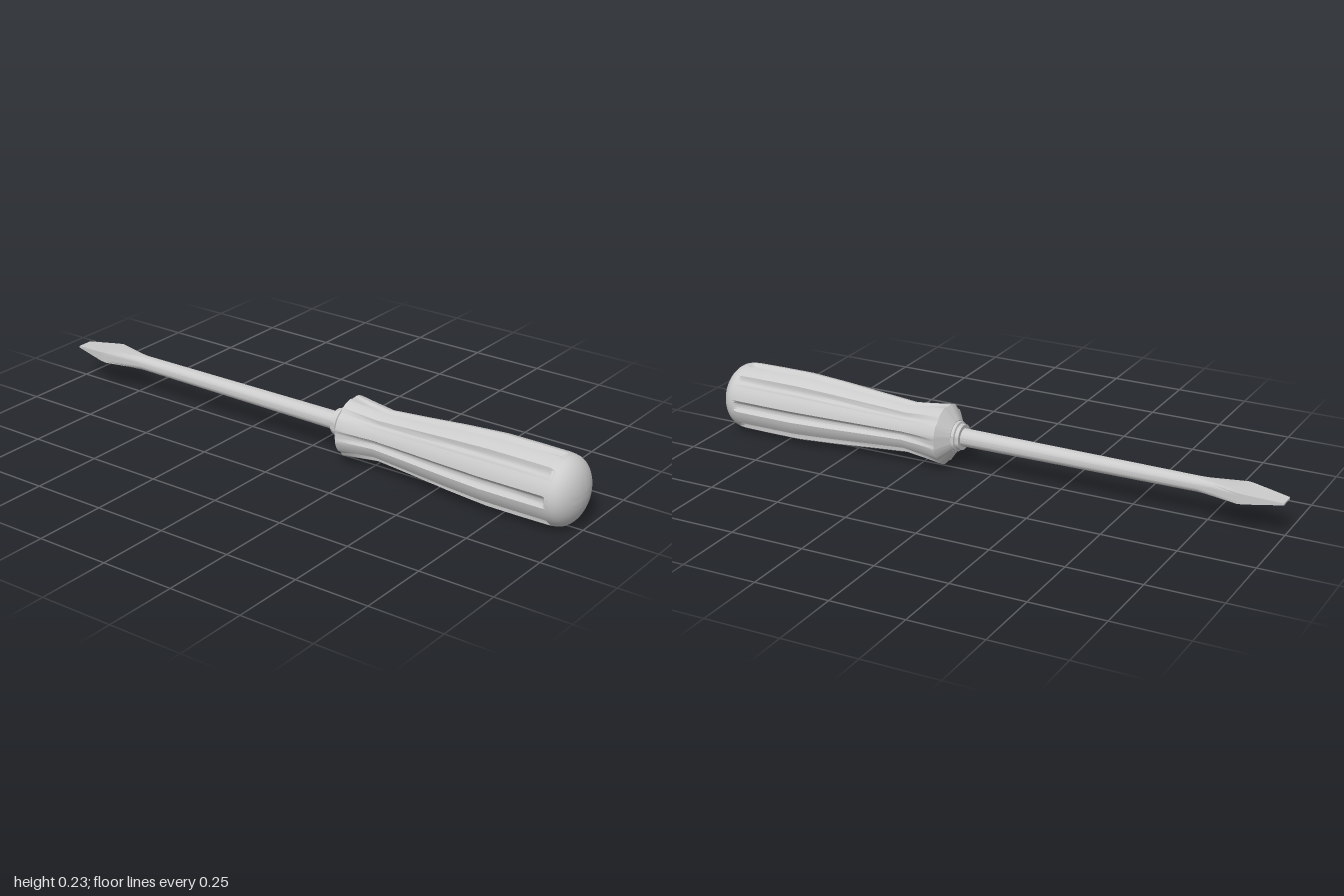
import * as THREE from 'three';
import { toCreasedNormals } from 'three/addons/utils/BufferGeometryUtils.js';

const AXIS_Y = 0.115;
const material = new THREE.MeshStandardMaterial({ color: 0xcccccc });

// Skin a surface over closed rings of [x, y, z], ordered from +z to -z.
function loft(rings, crease) {
  const n = rings[0].length, index = [];
  for (let j = 0; j < rings.length - 1; j++) {
    for (let i = 0; i < n; i++) {
      const a = j * n + i, b = j * n + (i + 1) % n;
      index.push(a, a + n, b, b, a + n, b + n);
    }
  }
  const geometry = new THREE.BufferGeometry();
  geometry.setAttribute('position', new THREE.Float32BufferAttribute(rings.flat(2), 3));
  geometry.setIndex(index);
  return toCreasedNormals(geometry, crease);
}

function part(name, geometry) {
  const mesh = new THREE.Mesh(geometry, material);
  mesh.name = name;
  return mesh;
}

// Body of revolution about the z axis from [radius, z] pairs, +z to -z.
function turned(profile, segments = 32) {
  const rings = profile.map(([r, z]) => Array.from({ length: segments }, (_, i) => {
    const a = (i / segments) * Math.PI * 2;
    return [r * Math.cos(a), r * Math.sin(a), z];
  }));
  return loft(rings, 0.6);
}

// Grip with eight rounded grooves; stations are [z, radius, groove depth].
function gripGeometry() {
  const stations = [
    [0.935, 0.112, 0], [0.915, 0.114, 0.013], [0.82, 0.115, 0.016], [0.7, 0.115, 0.017],
    [0.56, 0.106, 0.016], [0.42, 0.094, 0.014], [0.29, 0.084, 0.011],
    [0.22, 0.092, 0.009], [0.16, 0.1, 0.004], [0.125, 0.052, 0], [0.125, 0, 0],
  ];
  const half = THREE.MathUtils.degToRad(10);
  const samples = [];
  for (let k = 0; k < 8; k++) {
    const centre = k * Math.PI / 4;
    for (let s = -3; s <= 3; s++) samples.push([centre + half * s / 3, 1 - (s / 3) ** 2]);
    for (let s = 1; s < 4; s++) samples.push([centre + half + (Math.PI / 4 - 2 * half) * s / 4, 0]);
  }
  const rings = stations.map(([z, r, depth]) => samples.map(([a, groove]) => {
    const rr = r - depth * groove;
    return [rr * Math.cos(a), rr * Math.sin(a), z];
  }));
  return loft(rings, 0.6);
}

// Rod that flattens into the blade; stations are [z, half width, half height, squareness].
function shaftGeometry() {
  const stations = [
    [0.11, 0.03, 0.03, 0], [-0.72, 0.026, 0.025, 0], [-0.77, 0.033, 0.023, 0.4],
    [-0.86, 0.05, 0.018, 1], [-0.88, 0.049, 0.016, 1],
    [-1, 0.027, 0.003, 1], [-1, 0, 0, 1],
  ];
  const n = 24;
  const box = v => THREE.MathUtils.clamp(v * Math.SQRT2, -1, 1);
  const rings = stations.map(([z, w, h, q]) => Array.from({ length: n }, (_, i) => {
    const c = Math.cos(i / n * Math.PI * 2), s = Math.sin(i / n * Math.PI * 2);
    return [w * THREE.MathUtils.lerp(c, box(c), q), h * THREE.MathUtils.lerp(s, box(s), q), z];
  }));
  return loft(rings, 0.5);
}

export function createModel() {
  const model = new THREE.Group();
  model.name = 'screwdriver';

  // Domed end of the handle
  const dome = [];
  for (let i = 0; i <= 10; i++) {
    const a = (i / 10) * Math.PI / 2;
    dome.push([0.112 * Math.sin(a), 0.93 + 0.07 * Math.cos(a)]);
  }
  dome.push([0.112, 0.925]);

  // Stepped collar where the shaft enters the handle
  const collar = [[0.05, 0.135], [0.05, 0.115], [0.043, 0.113], [0.043, 0.1], [0, 0.1]];

  model.add(
    part('handleEnd', turned(dome, 40)),
    part('grip', gripGeometry()),
    part('collar', turned(collar)),
    part('shaftAndBlade', shaftGeometry()),
  );
  model.children.forEach(mesh => { mesh.position.y = AXIS_Y; });
  return model;
}
